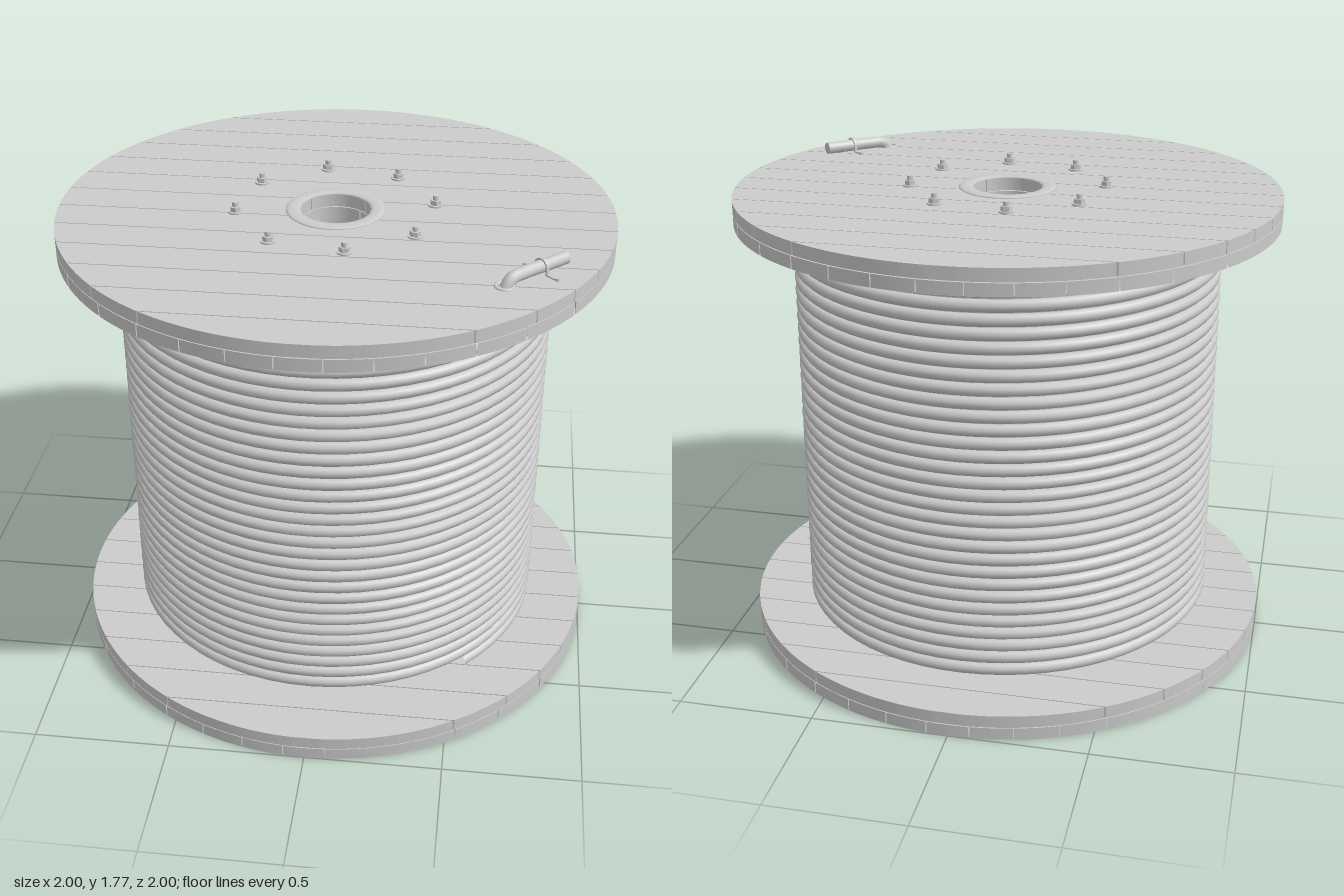
import * as THREE from 'three';
import { toCreasedNormals } from 'three/addons/utils/BufferGeometryUtils.js';

const material = new THREE.MeshStandardMaterial({ color: 0xcccccc });
const BORE = 0.125, PITCH = 0.154, GAP = 0.004, LAYER = 0.046;
const TOP = 1.717;

function add(parent, name, geometry, x = 0, y = 0, z = 0) {
  const mesh = new THREE.Mesh(geometry, material);
  mesh.name = name;
  mesh.position.set(x, y, z);
  parent.add(mesh);
  return mesh;
}

// Outline of plank number i, clipped by the round flange and the bore
function plankShape(i) {
  const shape = new THREE.Shape();
  const a = (i - 0.5) * PITCH + GAP / 2, b = (i + 0.5) * PITCH - GAP / 2;
  const ta = Math.asin(a);
  if (i === 0) {
    const s = Math.asin(b / BORE);
    shape.absarc(0, 0, 1, ta, -ta, false);
    shape.absarc(0, 0, BORE, s, -s, true);
    return shape;
  }
  if (b >= 1) {
    shape.absarc(0, 0, 1, ta, Math.PI - ta, false);
    return shape;
  }
  const tb = Math.asin(b);
  shape.absarc(0, 0, 1, ta, tb, false);
  shape.absarc(0, 0, 1, Math.PI - tb, Math.PI - ta, false);
  if (a < BORE) {
    const s = Math.asin(a / BORE);
    shape.absarc(0, 0, BORE, Math.PI - s, s, true);
  }
  return shape;
}

// One layer of parallel planks; the second half is the first turned by 180 degrees
function plankLayer(name, y, turn) {
  const layer = new THREE.Group();
  layer.name = name;
  for (let i = 0; i <= 6; i++) {
    const geometry = new THREE.ExtrudeGeometry(plankShape(i), {
      depth: LAYER, bevelEnabled: false, curveSegments: i === 6 ? 24 : 12,
    });
    geometry.rotateX(Math.PI / 2);
    for (const side of [0, Math.PI]) add(layer, 'plank', geometry).rotation.y = side;
  }
  layer.position.y = y + LAYER;
  layer.rotation.y = turn;
  return layer;
}

function flange(name, y) {
  const group = new THREE.Group();
  group.name = name;
  group.add(plankLayer('lowerPlanks', y, Math.PI / 2));
  group.add(plankLayer('upperPlanks', y + LAYER + 0.003, 0));
  return group;
}

// Cable wound on the drum, starting and ending at 45 degrees
const TURNS = 30, WIND = 0.77, Y0 = 0.122, Y1 = 1.594, CABLE = 0.0225;
function windingPoint(t, target = new THREE.Vector3()) {
  const angle = Math.PI / 4 - t * TURNS * Math.PI * 2;
  return target.set(WIND * Math.cos(angle), Y0 + (Y1 - Y0) * t, WIND * Math.sin(angle));
}
class Winding extends THREE.Curve {
  getPoint(t, target) { return windingPoint(t * WOUND, target); }
}
const WOUND = 1 - 0.03 / TURNS;

export function createModel() {
  const model = new THREE.Group();
  model.name = 'cableDrum';

  model.add(flange('bottomFlange', 0));
  model.add(flange('topFlange', TOP - 2 * LAYER - 0.003));

  // Core with a bore and a stepped spacer at each end
  const profile = [
    [BORE, 0.095], [0.48, 0.095], [0.48, 0.12], [0.75, 0.12],
    [0.75, 1.608], [0.48, 1.608], [0.48, 1.622], [BORE, 1.622], [BORE, 0.095],
  ].map(([r, y]) => new THREE.Vector2(r, y));
  add(model, 'core', toCreasedNormals(new THREE.LatheGeometry(profile, 64), 0.6));

  // Wound cable with a closed start
  add(model, 'woundCable', new THREE.TubeGeometry(new Winding(), TURNS * 64, CABLE, 10));
  const start = add(model, 'cableStart', new THREE.CircleGeometry(CABLE, 10));
  start.position.copy(windingPoint(0));
  start.rotation.y = Math.PI * 1.25;

  // Cable end led up through the top flange and along its face
  const lead = [0.06, 0.045, 0.03].map((d) => windingPoint(1 - d / TURNS));
  for (const p of [
    [0.565, 1.602, 0.555], [0.605, 1.635, 0.545], [0.612, 1.69, 0.542],
    [0.635, 1.735, 0.52], [0.68, 1.741, 0.475], [0.75, 1.741, 0.41], [0.812, 1.741, 0.35],
  ]) lead.push(new THREE.Vector3(...p));
  add(model, 'cableTail', new THREE.TubeGeometry(new THREE.CatmullRomCurve3(lead), 80, CABLE, 12));
  add(model, 'cableTailEnd', new THREE.CircleGeometry(CABLE, 12), 0.812, 1.741, 0.35)
    .rotation.y = Math.PI * 0.75;
  const grommet = add(model, 'cableHoleRim', new THREE.TorusGeometry(0.03, 0.006, 8, 24), 0.614, TOP, 0.54);
  grommet.rotation.x = Math.PI / 2;

  // Clamp strap over the cable tail, with two nailed feet
  const clamp = new THREE.Group();
  clamp.name = 'cableClamp';
  clamp.position.set(0.732, TOP, 0.427);
  clamp.rotation.y = -Math.PI / 4;
  const arch = new THREE.Shape();
  arch.absarc(0, 0.024, 0.03, 0, Math.PI, false);
  arch.lineTo(-0.03, 0);
  arch.lineTo(-0.024, 0);
  arch.absarc(0, 0.024, 0.024, Math.PI, 0, true);
  arch.lineTo(0.024, 0);
  arch.lineTo(0.03, 0);
  const archGeometry = new THREE.ExtrudeGeometry(arch, { depth: 0.012, bevelEnabled: false });
  add(clamp, 'strap', toCreasedNormals(archGeometry, 0.6), 0, 0, -0.006);
  for (const side of [-1, 1]) {
    add(clamp, 'strapFoot', new THREE.BoxGeometry(0.056, 0.005, 0.012), side * 0.055, 0.0025, 0);
    add(clamp, 'nailHead', new THREE.CylinderGeometry(0.009, 0.009, 0.005, 12), side * 0.072, 0.007, 0);
  }
  model.add(clamp);

  // Rounded rim around the bore
  const rim = add(model, 'boreRim', new THREE.TorusGeometry(0.153, 0.027, 12, 48), 0, TOP, 0);
  rim.rotation.x = Math.PI / 2;
  rim.scale.z = 0.25;

  // Ring of eight bolts
  for (let i = 0; i < 8; i++) {
    const bolt = new THREE.Group();
    bolt.name = 'bolt';
    const angle = Math.PI / 4 * i - Math.PI / 16;
    bolt.position.set(0.36 * Math.cos(angle), TOP, 0.36 * Math.sin(angle));
    bolt.rotation.y = -angle;
    add(bolt, 'washer', new THREE.CylinderGeometry(0.027, 0.027, 0.006, 20), 0, 0.003, 0);
    add(bolt, 'nut', toCreasedNormals(new THREE.CylinderGeometry(0.02, 0.02, 0.017, 6), 0.5), 0, 0.0145, 0);
    add(bolt, 'shank', new THREE.CylinderGeometry(0.011, 0.011, 0.04, 12), 0, 0.02, 0);
    model.add(bolt);
  }
  return model;
}
